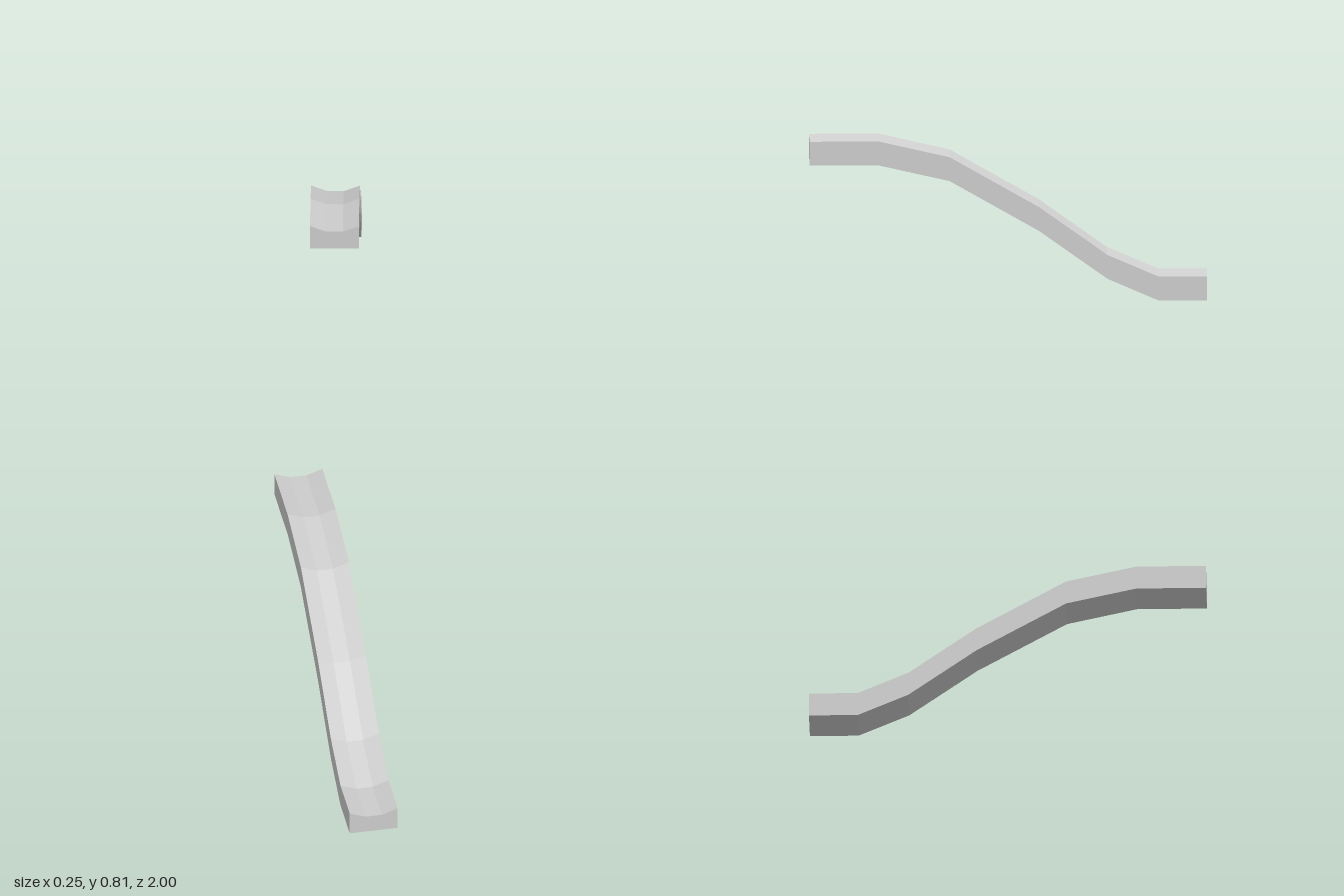
import * as THREE from 'three';

// Side path of the slide: [z, underside y], from the high front end to the low back end
const path = [
  [1, 0.69], [0.65, 0.69], [0.295, 0.61], [-0.155, 0.355],
  [-0.5, 0.11], [-0.755, 0], [-1, 0],
];

// Cross-section [x, y], counter-clockwise seen from the front, with a shallow trough on top
const W = 0.123, T = 0.122, GROOVE_W = 0.042, GROOVE_Y = 0.092;
const section = [
  [-W, 0], [W, 0], [W, T], [GROOVE_W, GROOVE_Y], [-GROOVE_W, GROOVE_Y], [-W, T],
];

// Sweep the upright cross-section along the path and cap both ends
function sweepGeometry() {
  const positions = [];
  const point = (s, k) => [section[k][0], path[s][1] + section[k][1], path[s][0]];
  const triangle = (a, b, c) => positions.push(...a, ...b, ...c);

  for (let s = 0; s < path.length - 1; s++) {
    for (let k = 0; k < section.length; k++) {
      const n = (k + 1) % section.length;
      triangle(point(s, k), point(s + 1, k), point(s + 1, n));
      triangle(point(s, k), point(s + 1, n), point(s, n));
    }
  }

  const last = path.length - 1;
  const outline = section.map(([x, y]) => new THREE.Vector2(x, y));
  for (const [a, b, c] of THREE.ShapeUtils.triangulateShape(outline, [])) {
    triangle(point(0, a), point(0, b), point(0, c));
    triangle(point(last, a), point(last, c), point(last, b));
  }

  const geometry = new THREE.BufferGeometry();
  geometry.setAttribute('position', new THREE.Float32BufferAttribute(positions, 3));
  geometry.computeVertexNormals();
  return geometry;
}

export function createModel() {
  const group = new THREE.Group();
  group.name = 'slide';
  const material = new THREE.MeshStandardMaterial({ color: 0xcccccc, flatShading: true });
  const chute = new THREE.Mesh(sweepGeometry(), material);
  chute.name = 'chute';
  group.add(chute);
  return group;
}
